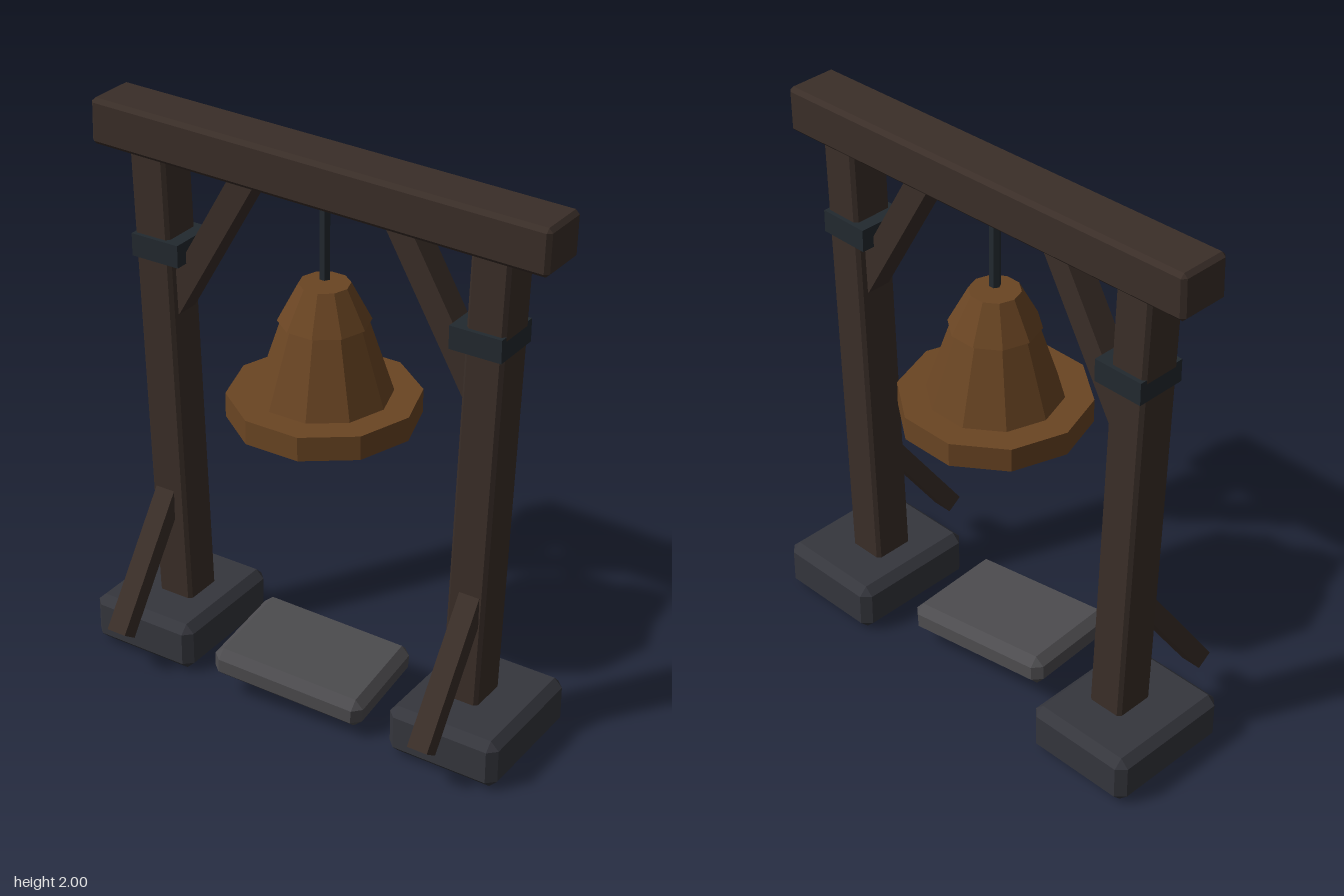
import * as THREE from 'three';
import { ConvexGeometry } from 'three/addons/geometries/ConvexGeometry.js';

const mat = (color, side = THREE.FrontSide) =>
  new THREE.MeshStandardMaterial({ color, flatShading: true, side });

// Box with a single flat chamfer on every edge
function chamferBox(w, h, d, b) {
  const pts = [];
  for (const x of [-w / 2, w / 2]) for (const y of [-h / 2, h / 2]) for (const z of [-d / 2, d / 2]) {
    const bx = x - Math.sign(x) * b, by = y - Math.sign(y) * b, bz = z - Math.sign(z) * b;
    pts.push(new THREE.Vector3(x, by, bz), new THREE.Vector3(bx, y, bz), new THREE.Vector3(bx, by, z));
  }
  return new ConvexGeometry(pts);
}

export function createModel() {
  const model = new THREE.Group();
  model.name = 'bellFrame';
  const wood = mat(0x3a2e28), iron = mat(0x22292f), footing = mat(0x35363d), stone = mat(0x4d4c4f);
  const bronze = mat(0x6a4523, THREE.DoubleSide);
  const Z = -0.038; // plane of the frame

  const add = (name, geometry, material, x, y, z) => {
    const mesh = new THREE.Mesh(geometry, material);
    mesh.name = name;
    mesh.position.set(x, y, z);
    model.add(mesh);
    return mesh;
  };

  // Square timber running between two points
  const timber = (name, a, b, w, d) => {
    const from = new THREE.Vector3(...a), to = new THREE.Vector3(...b);
    const dir = to.clone().sub(from), mid = from.clone().add(to).multiplyScalar(0.5);
    const mesh = add(name, new THREE.BoxGeometry(w, dir.length(), d), wood, mid.x, mid.y, mid.z);
    mesh.quaternion.setFromUnitVectors(new THREE.Vector3(0, 1, 0), dir.normalize());
  };

  // Slightly sagging crossbeam
  add('crossbeam', chamferBox(1.69, 0.16, 0.19, 0.014), wood, -0.002, 1.9, Z).rotation.z = -0.025;

  // Both sides of the frame
  for (const s of [1, -1]) {
    const side = s > 0 ? 'left' : 'right';
    add(side + 'Footing', chamferBox(0.412, 0.18, 0.485, 0.03), footing, s * 0.608, 0.098, Z);
    add(side + 'Post', chamferBox(0.138, 1.86, 0.153, 0.012), wood, s * 0.607, 0.932, Z).rotation.z = -s * 0.035;
    add(side + 'IronStrap', new THREE.BoxGeometry(0.185, 0.08, 0.183), iron, s * 0.605, 1.52, Z);
    timber(side + 'Brace', [s * 0.585, 1.307, Z], [s * 0.26, 1.87, Z], 0.087, 0.09);
    timber(side + 'Strut', [s * 0.608, 0.164, 0.317], [s * 0.608, 0.615, -0.005], 0.075, 0.065);
  }

  // Hollow ten-sided bell: up the outside from the inner crown
  const profile = [
    [0, 1.48], [0.07, 1.48], [0.13, 1.38], [0.215, 1.13], [0.235, 1.055],
    [0.322, 1.055], [0.322, 1.14], [0.227, 1.14], [0.142, 1.4],
    [0.153, 1.4], [0.085, 1.53], [0, 1.53],
  ].map(([r, y]) => new THREE.Vector2(r, y));
  add('bell', new THREE.LatheGeometry(profile, 10), bronze, 0, 0, Z).rotation.y = Math.PI / 2;

  // Hanger above, clapper below
  add('hanger', new THREE.CylinderGeometry(0.019, 0.019, 0.3, 6), iron, 0, 1.695, Z).rotation.y = Math.PI / 6;
  add('clapperRod', new THREE.CylinderGeometry(0.016, 0.016, 0.45, 6), iron, 0, 1.265, Z);
  add('clapper', new THREE.IcosahedronGeometry(0.058, 0), bronze, 0, 1.003, Z).rotation.z = 0.2;

  // Tilted stepping stone
  add('steppingStone', chamferBox(0.57, 0.11, 0.4, 0.03), stone, 0, 0.126, 0.036).rotation.set(0.04, 0.085, -0.085);

  return model;
}
